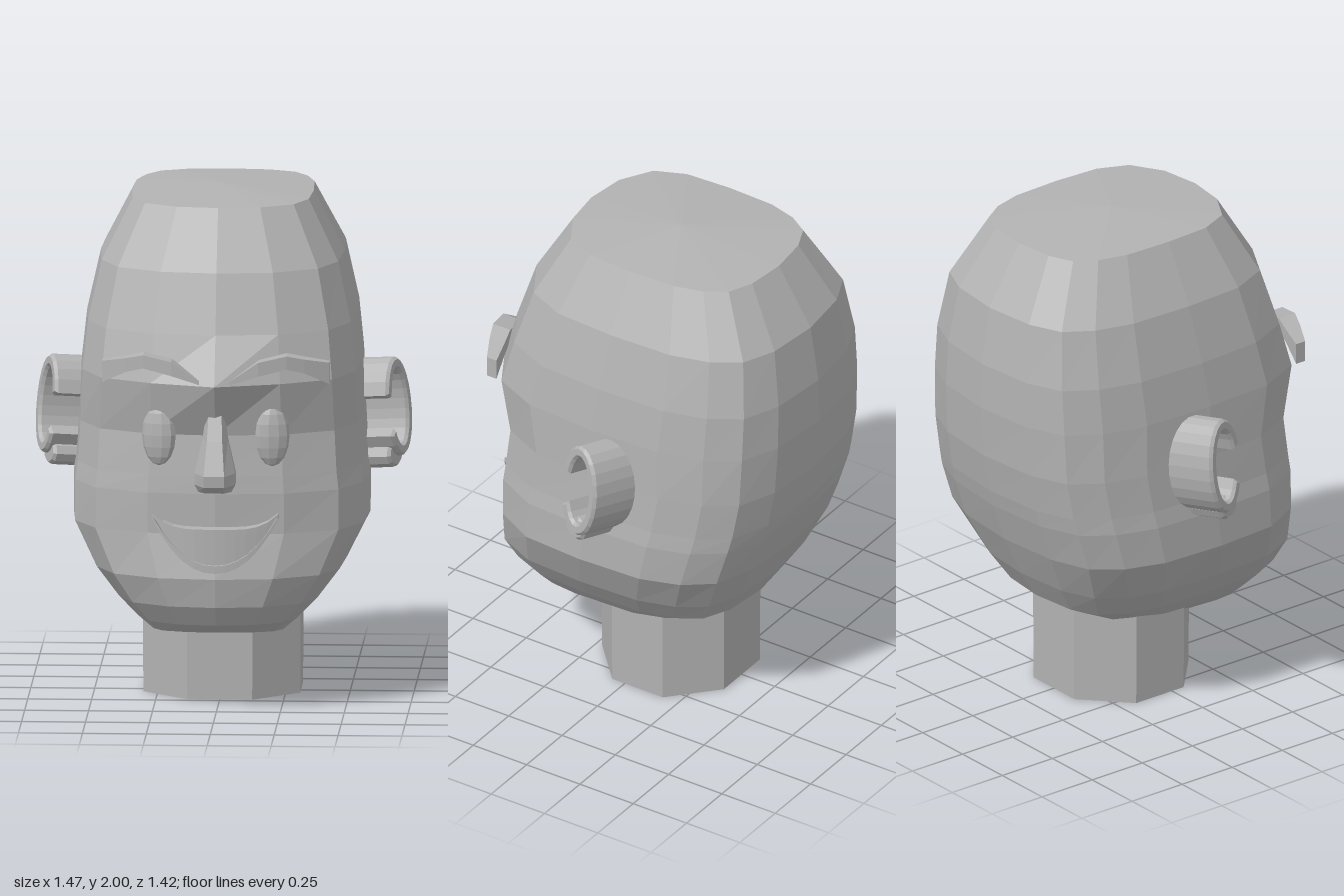
import * as THREE from 'three';

const skin = new THREE.MeshStandardMaterial({ color: 0xb2b2b2, flatShading: true });
skin.name = 'plain grey';

const V = (x, y, z) => new THREE.Vector3(x, y, z);

function part(name, geometry) {
  const mesh = new THREE.Mesh(geometry, skin);
  mesh.name = name;
  return mesh;
}

// Skin a list of cross-sections, closing both ends with a fan
function loft(rings, startTip, endTip) {
  const n = rings[0].length, pos = [];
  const tri = (...points) => points.forEach(p => pos.push(p.x, p.y, p.z));
  const middle = ring => ring.reduce((m, p) => m.addScaledVector(p, 1 / n), V(0, 0, 0));
  const first = rings[0], last = rings[rings.length - 1];
  const start = startTip || middle(first), end = endTip || middle(last);
  for (let j = 0; j < n; j++) {
    const k = (j + 1) % n;
    tri(start, first[k], first[j]);
    for (let i = 0; i < rings.length - 1; i++) {
      const a = rings[i], b = rings[i + 1];
      tri(a[j], a[k], b[k]);
      tri(a[j], b[k], b[j]);
    }
    tri(end, last[j], last[k]);
  }
  const g = new THREE.BufferGeometry();
  g.setAttribute('position', new THREE.Float32BufferAttribute(pos, 3));
  g.computeVertexNormals();
  return g;
}

// Box-section strip running along x; stations are [x, bottom, top, front z, depth]
function strip(stations, side = 1) {
  return loft(stations.map(([x, y0, y1, z, d]) => {
    const ring = [V(side * x, y1, z - d), V(side * x, y1, z), V(side * x, y0, z), V(side * x, y0, z - d)];
    return side > 0 ? ring : ring.reverse();
  }));
}

function makeHead() {
  // Half outline from back to front, mirrored into an 18-sided rounded loop
  const half = [[0, -1], [.46, -.96], [.74, -.86], [.89, -.67], [.98, -.4],
    [1, .06], [.97, .5], [.82, .78], [.46, .95], [0, 1]];
  const outline = [...half, ...half.slice(1, -1).reverse().map(([x, z]) => [-x, z])];
  // Levels: y, half width, front z, back z, extra push of the front centre
  const levels = [
    [1.975, .355, .36, -.52, 0], [1.74, .477, .5, -.668, 0], [1.507, .53, .575, -.705, 0],
    [1.32, .55, .63, -.71, .05], [1.11, .56, .575, -.697, 0], [.95, .57, .59, -.668, 0],
    [.88, .58, .595, -.65, 0], [.72, .58, .59, -.595, 0], [.546, .49, .625, -.51, 0],
    [.43, .4, .6, -.435, 0], [.35, .32, .546, -.29, 0], [.3, .26, .42, .08, 0],
  ];
  const rings = levels.map(([y, w, f, b, push]) => outline.map(([x, z]) =>
    V(x * w, y, (f + b) / 2 + z * (f - b) / 2 + (x === 0 && z > 0 ? push : 0))));
  return part('head', loft(rings, V(0, 2, -.06)));
}

function makeNeck() {
  const g = new THREE.CylinderGeometry(.336, .332, .55, 8, 1, false, Math.PI / 8);
  g.scale(1, 1, .93).translate(0, .275, -.06);
  return part('neck', g);
}

function makeNose() {
  // y, base half width, ridge half width, middle z, ridge z
  const levels = [[1.205, .035, .025, .58, .605], [1.1, .05, .03, .6, .655],
    [.97, .08, .04, .63, .71], [.925, .08, .04, .63, .705], [.895, .065, .035, .62, .66]];
  return part('nose', loft(levels.map(([y, w, r, m, f]) =>
    [V(-w, y, .5), V(w, y, .5), V(w, y, m), V(r, y, f), V(-r, y, f), V(-w, y, m)])));
}

function makeMouth() {
  const mouth = new THREE.Group();
  mouth.name = 'mouth';
  const upper = u => .735 + .065 * u ** 4;
  const lower = u => .59 + .2 * Math.abs(u) ** 2.2;
  const depth = u => .645 - .05 * u * u;
  const steps = Array.from({ length: 13 }, (_, i) => i / 6 - 1);
  mouth.add(part('teeth', strip(steps.map(u =>
    [u * .24, lower(u), Math.max(upper(u), lower(u) + .004), depth(u) - .008, .1]))));
  // Thin lips framing the smile
  for (const [name, edge] of [['upperLip', upper], ['lowerLip', lower]]) {
    mouth.add(part(name, strip(steps.map(u => {
      const t = .006 + .009 * (1 - u * u);
      return [u * .248, edge(u) - t, edge(u) + t, depth(u) + .008, .09];
    }))));
  }
  return mouth;
}

function makeEye(side) {
  const eye = part('eye', new THREE.SphereGeometry(1, 10, 8));
  eye.scale.set(.068, .122, .035);
  eye.position.set(side * .222, 1.11, .56);
  eye.rotation.y = side * .2;
  return eye;
}

function makeEyebrow(side) {
  return part('eyebrow', strip([[.06, 1.325, 1.34, .66, .08], [.17, 1.36, 1.415, .66, .08],
    [.28, 1.385, 1.437, .635, .08], [.35, 1.365, 1.42, .605, .07],
    [.445, 1.315, 1.4, .555, .045]], side));
}

function makeEar(side) {
  const ear = new THREE.Group();
  ear.name = 'ear';
  // C-shaped rim with its gap towards the face
  const count = 20, from = -Math.PI + .62, to = Math.PI - .35, points = [];
  const arc = (rx, ry, t) => new THREE.Vector2(side * rx * Math.cos(t), ry * Math.sin(t));
  for (let i = 0; i <= count; i++) points.push(arc(.103, .185, from + (to - from) * i / count));
  for (let i = count; i >= 0; i--) points.push(arc(.078, .158, from + (to - from) * i / count));
  const bevel = { bevelEnabled: true, bevelSize: .01, bevelThickness: .012, bevelSegments: 1 };
  const rim = part('earRim', new THREE.ExtrudeGeometry(new THREE.Shape(points), { depth: .21, ...bevel }));
  rim.position.z = -.222;
  // Lobe under the rim
  const lobePoints = Array.from({ length: 10 }, (_, i) =>
    arc(.055, .04, i * Math.PI / 5).add(new THREE.Vector2(side * -.03, -.185)));
  const lobe = part('earLobe', new THREE.ExtrudeGeometry(new THREE.Shape(lobePoints), { depth: .18, ...bevel }));
  lobe.position.z = -.215;
  ear.add(rim, lobe);
  ear.position.set(side * .695, 1.125, -.035);
  ear.rotation.set(-.1, side * 1.2, 0, 'YXZ');
  return ear;
}

export function createModel() {
  const model = new THREE.Group();
  model.name = 'headBust';
  model.add(makeHead(), makeNeck(), makeNose(), makeMouth());
  for (const side of [1, -1]) model.add(makeEye(side), makeEyebrow(side), makeEar(side));
  return model;
}
